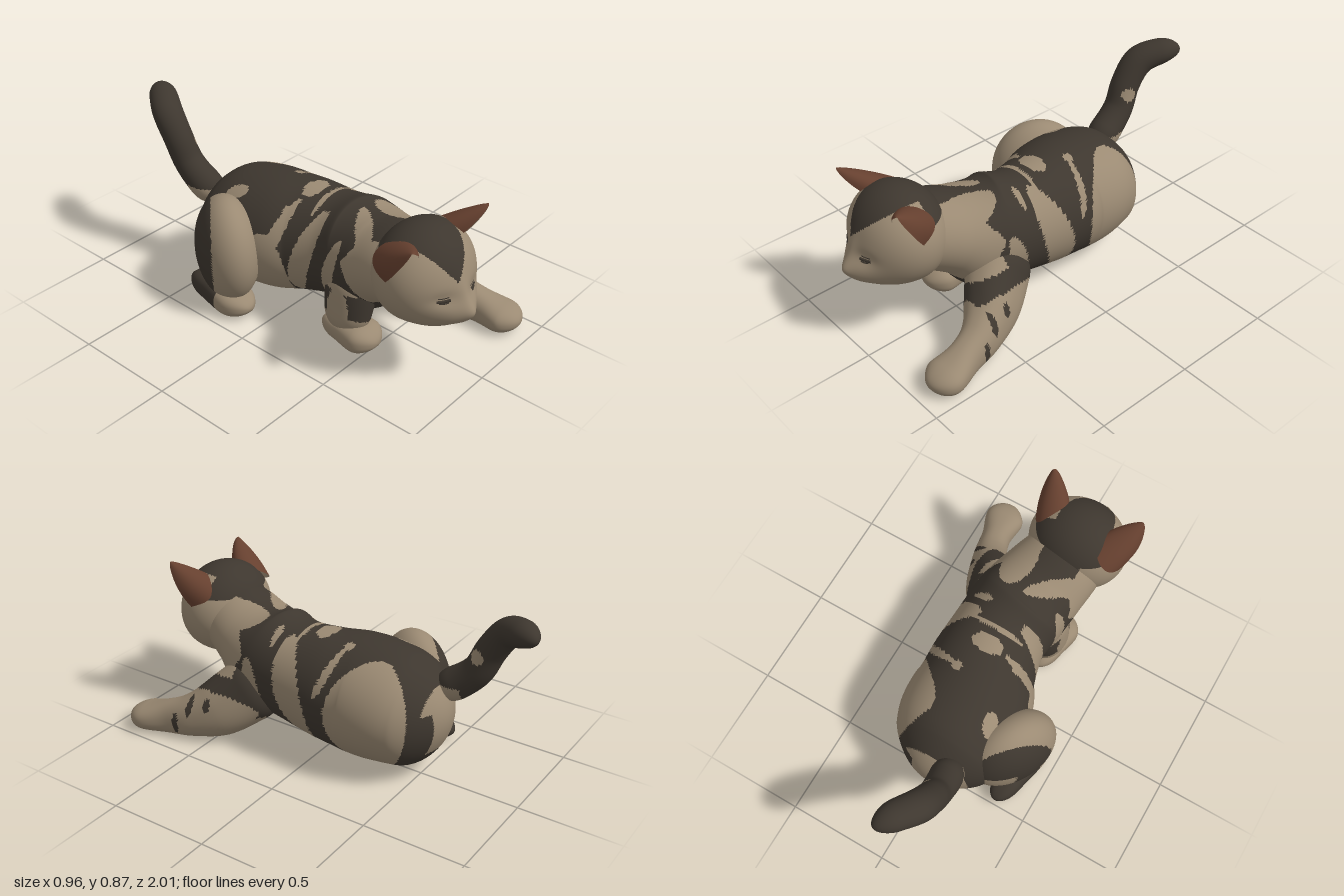
import * as THREE from 'three';
import { mergeVertices } from 'three/addons/utils/BufferGeometryUtils.js';

const V = (x, y, z) => new THREE.Vector3(x, y, z);
const material = (name, color) => {
  const m = new THREE.MeshStandardMaterial({ color });
  m.name = name;
  return m;
};
const gauss = (d, s) => Math.exp(-(d * d) / (2 * s * s));

// Sweep an oval along a smooth path; stations are [x, y, z, width radius, height radius].
// The first and last spans close as domes, the underside flattens on the ground,
// and a power below 1 makes the oval boxier.
function loft(stations, rows = 60, sides = 48, power = 1) {
  const path = new THREE.CatmullRomCurve3(stations.map(s => V(s[0], s[1], s[2])), false, 'catmullrom');
  const radii = new THREE.CatmullRomCurve3(stations.map(s => V(s[3], s[4], 0)), false, 'catmullrom');
  const pos = [], idx = [], spans = stations.length - 1;
  const box = v => Math.sign(v) * Math.abs(v) ** power;
  for (let i = 0; i <= rows; i++) {
    const u = 0.5 - 0.5 * Math.cos(Math.PI * i / rows);
    const p = path.getPoint(u), r = radii.getPoint(u), t = path.getTangent(u);
    const a = V(1, 0, 0).addScaledVector(t, -t.x).normalize(), b = t.clone().cross(a);
    const e = Math.min(1, Math.min(u, 1 - u) * spans);
    const cap = Math.sqrt(Math.max(0, 1 - (1 - e) ** 2));
    for (let j = 0; j < sides; j++) {
      const th = j / sides * Math.PI * 2;
      const q = p.clone().addScaledVector(a, r.x * cap * box(Math.cos(th))).addScaledVector(b, r.y * cap * box(Math.sin(th)));
      pos.push(q.x, Math.max(0, q.y), q.z);
      if (i < rows) {
        const k = i * sides, j2 = (j + 1) % sides;
        idx.push(k + j, k + j2, k + sides + j, k + j2, k + sides + j2, k + sides + j);
      }
    }
  }
  return surface(pos, idx);
}

function surface(pos, idx) {
  const g = new THREE.BufferGeometry();
  g.setAttribute('position', new THREE.Float32BufferAttribute(pos, 3));
  g.setIndex(idx);
  g.computeVertexNormals();
  return g;
}

// Unit sphere whose vertices are moved by a rule
function ball(cols, rows, rule) {
  let g = new THREE.SphereGeometry(1, cols, rows);
  g.deleteAttribute('uv');
  g.deleteAttribute('normal');
  g = mergeVertices(g);
  const p = g.attributes.position, v = V(0, 0, 0);
  for (let i = 0; i < p.count; i++) {
    rule(v.fromBufferAttribute(p, i));
    p.setXYZ(i, v.x, v.y, v.z);
  }
  g.computeVertexNormals();
  return g;
}

// Sort triangles into light and dark coat groups
function paint(g, isDark) {
  const p = g.attributes.position, src = g.index.array, sets = [[], []];
  for (let i = 0; i < src.length; i += 3) {
    const t = [src[i], src[i + 1], src[i + 2]];
    const [x, y, z] = ['getX', 'getY', 'getZ'].map(f => (p[f](t[0]) + p[f](t[1]) + p[f](t[2])) / 3);
    sets[y < 0.004 || isDark(x, y, z) ? 1 : 0].push(...t);
  }
  g.setIndex(sets[0].concat(sets[1]));
  g.addGroup(0, sets[0].length, 0);
  g.addGroup(sets[0].length, sets[1].length, 1);
  return g;
}

// Ovals are [u, v, radius u, radius v, lean]
const inOval = (u, v, [cu, cv, ru, rv, lean = 0]) => {
  const c = Math.cos(lean), s = Math.sin(lean), du = u - cu, dv = v - cv;
  return ((du * c - dv * s) / ru) ** 2 + ((du * s + dv * c) / rv) ** 2 < 1;
};
const leftPatches = [[-0.315, 0.31, 0.195, 0.265], [0.08, 0.34, 0.078, 0.26, 0.28], [0.31, 0.35, 0.04, 0.12, 0.3], [-0.1, 0.49, 0.02, 0.11, -0.3]];
const rightPatches = [[0.12, 0.36, 0.05, 0.24, 0.25], [0.29, 0.36, 0.035, 0.18, 0.25], [-0.02, 0.42, 0.03, 0.17, 0.2], [-0.07, 0.22, 0.11, 0.22]];
const backPatches = [[0.0, 0.02, 0.08, 0.045], [0.0, 0.11, 0.14, 0.013], [0.07, -0.14, 0.025, 0.025], [-0.14, 0.42, 0.16, 0.04, 0.69],
  [-0.2, -0.3, 0.035, 0.06, 0.3], [0.14, 0.22, 0.05, 0.018], [-0.2, 0.0, 0.05, 0.02, 0.5], [0, -0.57, 0.05, 0.02], [0.08, 0.46, 0.08, 0.14]];
function bodyDark(x, y, z) {
  if (y > 0.47 && backPatches.some(o => inOval(x, z, o))) return false;
  if (z > 0.37 + Math.abs(y - 0.46) * 0.6 && y > 0.255) return y > 0.56 && Math.abs(x + 0.09) < 0.1;
  if (z < -0.545 && y < 0.46 && y > (x < 0.06 ? 0.15 : 0.37)) return false;
  return !(x > 0.07 ? leftPatches : x < -0.1 ? rightPatches : []).some(o => inOval(z, y, o));
}
const headDark = (x, y, z) => y > 0.56 + (x < -0.15 ? (-0.15 - x) * 1.5 : (x + 0.15) * 0.95)
  || (z < 0.68 && y > 0.63) || (y < 0.32 && z < 0.78);
const legMarks = [[0.58, 0.19, 0.017, 0.05], [0.65, 0.09, 0.016, 0.06], [0.49, 0.21, 0.017, 0.035]];
const legDark = (x, y, z) => x < 0.25 + Math.max(0, y - 0.2) && z < 0.6 && (y > 0.16 || x < 0.2)
  && !(z > 0.4 && y > 0.26 + (x - 0.13) * 0.6)
  || x > 0.33 && legMarks.some(o => inOval(z, y, o));

// Muzzle, nose, mouth crease and eye sockets pushed out of the face
const HEAD = V(-0.1, 0.515, 0.72), HR = V(0.248, 0.232, 0.212);
const faceRelief = (x, y) => 0.085 * gauss(x + 0.115, 0.09) * gauss(y - 0.385, 0.075)
  + 0.014 * gauss(x + 0.127, 0.024) * gauss(y - 0.425, 0.026)
  + 0.01 * gauss(x + 0.128, 0.025) * gauss(y - 0.5, 0.06)
  - 0.012 * gauss(x + 0.12, 0.05) * gauss(y - 0.348, 0.008)
  - 0.014 * (gauss(x + 0.215, 0.04) + gauss(x + 0.045, 0.04)) * gauss(y - 0.495, 0.025);
const faceZ = (x, y) => HEAD.z + HR.z * Math.sqrt(1 - ((x - HEAD.x) / HR.x) ** 2 - ((y - HEAD.y) / HR.y) ** 2) + faceRelief(x, y);

// Curved ear shell narrowing from an arched base sunk in the head to the tip; inner flips it
function earShell(side, inner) {
  const at = (x, y, z) => V(-0.113 + side * (x + 0.113), y, z - (side < 0 ? 0.03 : 0));
  const base = new THREE.CubicBezierCurve3(at(0.02, 0.67, 0.82), at(-0.11, 0.745, 0.71), at(0.11, 0.63, 0.5), at(0.13, 0.57, 0.74));
  const mid = base.getPoint(0.5).lerp(base.getPoint(0), 0.25).lerp(base.getPoint(1), 0.25);
  const tip = at(0.135, side > 0 ? 0.793 : 0.768, 0.87), pos = [], idx = [], n = 20;
  for (let i = 0; i <= n; i++) {
    for (let j = 0; j <= n; j++) {
      const t = i / n, w = Math.sqrt(1 - t * t) * (1 - t) ** 0.2 * (1 - 0.3 * t);
      const q = mid.clone().lerp(tip, t).add(base.getPoint(j / n).sub(mid).multiplyScalar(w));
      pos.push(q.x + side * 0.012 * Math.sin(Math.PI * t) * j / n, q.y, q.z);
      if (i < n && j < n) {
        const a = i * (n + 1) + j, c = a + n + 1;
        if ((side > 0) !== inner) idx.push(a, c, a + 1, a + 1, c, c + 1);
        else idx.push(a, a + 1, c, a + 1, c + 1, c);
      }
    }
  }
  return surface(pos, idx);
}

export function createModel() {
  const cat = new THREE.Group();
  cat.name = 'cat';
  const tan = material('tan fur', 0x9b8a73), dark = material('dark fur', 0x3e372f), brown = material('ear brown', 0x66402f);
  const add = (name, g, m) => {
    const mesh = new THREE.Mesh(g, m);
    mesh.name = name;
    cat.add(mesh);
  };
  const coat = (name, g, rule) => add(name, paint(g, rule), [tan, dark]);

  // Trunk from rump to neck
  coat('body', loft([
    [-0.03, 0.3, -0.61, 0.2, 0.2], [-0.035, 0.295, -0.44, 0.268, 0.258], [-0.03, 0.31, -0.3, 0.3, 0.284],
    [-0.02, 0.32, -0.15, 0.295, 0.29], [0.01, 0.335, 0.0, 0.262, 0.275], [0.02, 0.355, 0.18, 0.236, 0.255],
    [0.0, 0.38, 0.34, 0.24, 0.268], [-0.04, 0.435, 0.48, 0.225, 0.2], [-0.08, 0.48, 0.62, 0.205, 0.18], [-0.1, 0.5, 0.78, 0.18, 0.16],
  ], 170, 130), bodyDark);

  // Head with modelled face
  coat('head', ball(150, 110, v => {
    const front = THREE.MathUtils.smoothstep(v.z, 0, 0.4);
    v.multiply(HR).add(HEAD);
    v.z += front * faceRelief(v.x, v.y);
  }), headDark);

  // Nearly closed eyes with lash lines
  for (const [name, ex] of [['rightEye', -0.215], ['leftEye', -0.045]]) {
    [[0.489, 0.027, 0.008], [0.48, 0.018, 0.004], [0.503, 0.022, 0.003]].forEach(([ey, w, r]) => {
      const pts = [-1, -0.5, 0, 0.5, 1].map(k => {
        const x = ex + k * w, y = ey + k * k * 0.003;
        return V(x, y, faceZ(x, y) - r * 0.5);
      });
      add(name, new THREE.TubeGeometry(new THREE.CatmullRomCurve3(pts), 16, r, 8), dark);
    });
  }

  // Ears: brown backs, tan insides
  for (const [name, side] of [['leftEar', 1], ['rightEar', -1]]) {
    add(name + 'Back', earShell(side, false), brown);
    add(name + 'Inside', earShell(side, true), tan);
  }

  // Left front leg stretched forward with the elbow low
  coat('leftFrontLeg', loft([
    [0.1, 0.34, 0.26, 0.13, 0.16], [0.165, 0.255, 0.37, 0.132, 0.16], [0.255, 0.16, 0.49, 0.118, 0.145], [0.325, 0.108, 0.61, 0.088, 0.108],
    [0.36, 0.08, 0.73, 0.076, 0.085], [0.38, 0.06, 0.85, 0.1, 0.067], [0.385, 0.058, 0.945, 0.09, 0.058],
  ], 90, 56, 0.88), legDark);

  // Right front leg folded under the chest
  coat('rightFrontLeg', loft([
    [-0.11, 0.42, 0.37, 0.1, 0.12], [-0.14, 0.28, 0.36, 0.105, 0.13], [-0.165, 0.15, 0.36, 0.09, 0.12], [-0.172, 0.03, 0.37, 0.075, 0.1],
  ]), (x, y) => y > 0.17 + (x + 0.25) * -0.3 && x > -0.24 && y < 0.29);
  coat('rightFrontPaw', loft([
    [-0.165, 0.05, 0.22, 0.07, 0.05], [-0.17, 0.058, 0.33, 0.078, 0.06], [-0.175, 0.06, 0.45, 0.1, 0.067], [-0.178, 0.058, 0.545, 0.09, 0.058],
  ], 60, 48, 0.78), () => false);

  // Right hind leg with raised haunch angled outward
  coat('rightThigh', ball(80, 60, v => {
    v.multiply(V(0.165, 0.265, 0.215)).add(V(-0.3, 0.29, -0.28));
    v.x -= 0.3 * (v.z + 0.28);
  }), (x, y, z) => z < -0.68 - x && !(z < -0.4 && y < 0.33));
  coat('rightHindFoot', loft([
    [-0.33, 0.055, -0.49, 0.065, 0.055], [-0.345, 0.06, -0.37, 0.072, 0.065], [-0.36, 0.06, -0.2, 0.095, 0.067], [-0.372, 0.06, -0.07, 0.09, 0.06],
  ], 60, 48, 0.78), (x, y, z) => z < -0.24);

  // Raised tail
  coat('tail', loft([
    [-0.12, 0.4, -0.5, 0.09, 0.09], [-0.135, 0.46, -0.6, 0.08, 0.08], [-0.145, 0.545, -0.69, 0.074, 0.074], [-0.155, 0.66, -0.745, 0.073, 0.073],
    [-0.145, 0.765, -0.82, 0.077, 0.07], [-0.09, 0.81, -0.91, 0.07, 0.063], [-0.035, 0.82, -1.0, 0.057, 0.055],
  ], 80, 40), (x, y, z) => !(inOval(z, y, [-0.705, 0.635, 0.035, 0.035]) && x > -0.15)
    && !(y < 0.46 && z > -0.64));
  return cat;
}
